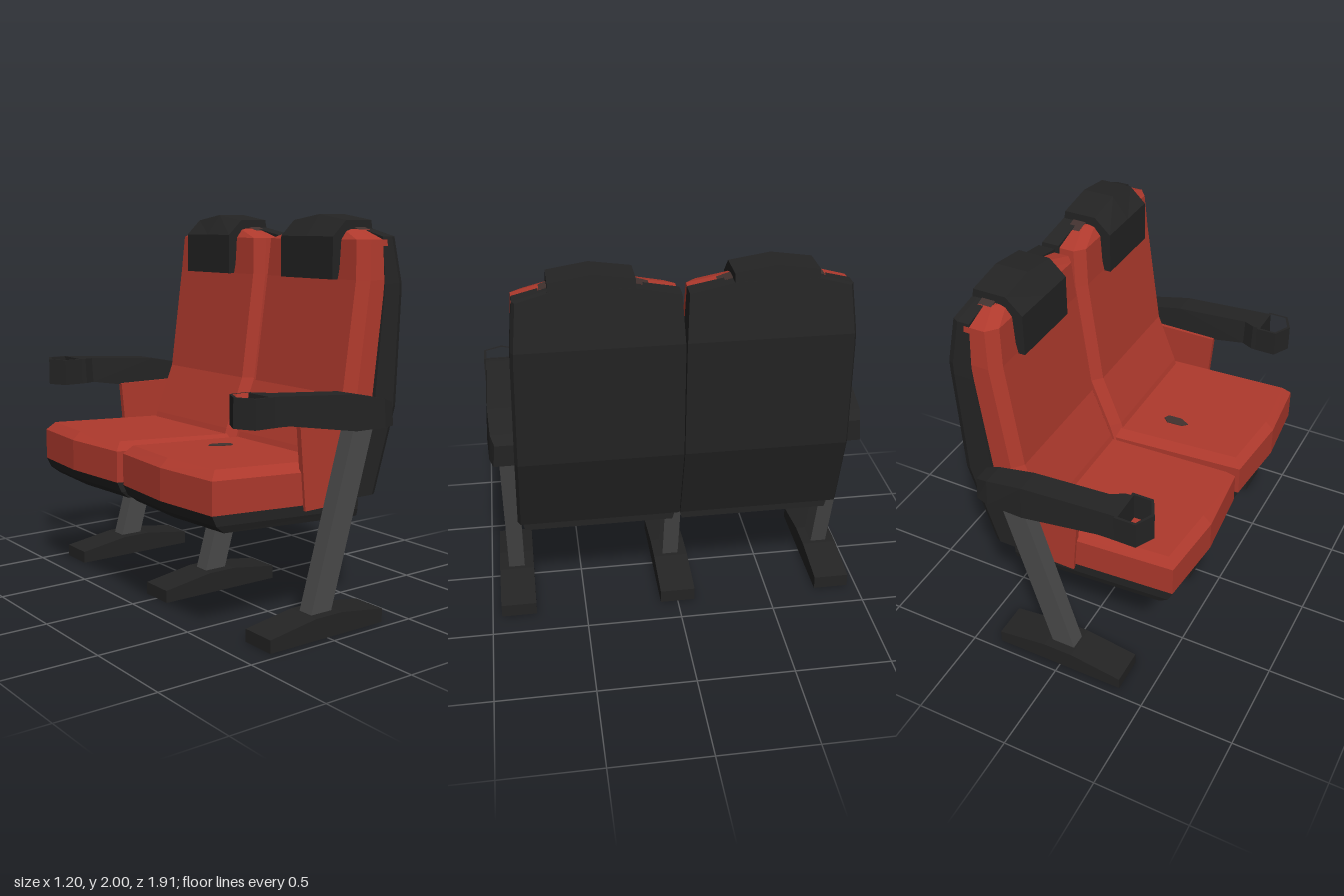
import * as THREE from 'three';

const material = (name, color) => {
  const m = new THREE.MeshStandardMaterial({ color });
  m.name = name;
  return m;
};

// Flat-shaded solid through rings of [x, y, z] points, capped at both ends and wound outwards
function loft(rings) {
  const n = rings[0].length, tris = [];
  for (let r = 0; r < rings.length - 1; r++) {
    for (let i = 0; i < n; i++) {
      const j = (i + 1) % n, a = rings[r], b = rings[r + 1];
      tris.push([a[i], a[j], b[j]], [a[i], b[j], b[i]]);
    }
  }
  const first = rings[0], last = rings[rings.length - 1];
  for (let i = 1; i < n - 1; i++) {
    tris.push([first[0], first[i + 1], first[i]], [last[0], last[i], last[i + 1]]);
  }
  let volume = 0;
  for (const [a, b, c] of tris) {
    volume += a[0] * (b[1] * c[2] - b[2] * c[1]) + a[1] * (b[2] * c[0] - b[0] * c[2]) + a[2] * (b[0] * c[1] - b[1] * c[0]);
  }
  if (volume < 0) tris.forEach((t) => t.reverse());
  const geometry = new THREE.BufferGeometry();
  geometry.setAttribute('position', new THREE.Float32BufferAttribute(tris.flat(2), 3));
  geometry.computeVertexNormals();
  return geometry;
}

// Side profile of [x, y] points carried across z
const prism = (profile, z0, z1) => loft([z0, z1].map((z) => profile.map(([x, y]) => [x, y, z])));

export function createModel() {
  const model = new THREE.Group();
  model.name = 'doubleSeat';
  const red = material('redUpholstery', 0xb03a2d);
  const black = material('blackPlastic', 0x242424);
  const grey = material('greyMetal', 0x4a4a4a);
  const brown = material('brownTrim', 0x42322f);

  const add = (parent, name, geometry, mat) => {
    const mesh = new THREE.Mesh(geometry, mat);
    mesh.name = name;
    parent.add(mesh);
  };

  // Slanted legs on wide feet: two outer, one in the middle
  for (const z of [-0.858, 0, 0.858]) {
    const top = z === 0 ? 0.56 : 1.0, shift = (top - 0.09) * 0.287;
    add(model, 'foot', prism([[-0.35, 0], [0.36, 0], [0.36, 0.07], [0.09, 0.108], [-0.07, 0.108], [-0.35, 0.065]], z - 0.093, z + 0.093), black);
    add(model, 'leg', prism([[-0.065, 0.09], [0.062, 0.09], [0.062 + shift, top], [-0.065 + shift, top]], z - 0.043, z + 0.043), grey);
  }

  for (const s of [1, -1]) {
    const seat = new THREE.Group();
    seat.name = s > 0 ? 'leftSeat' : 'rightSeat';
    model.add(seat);

    // Horizontal seat outline with a pointed front edge, sinking gently to the rear
    const seatRing = ([y, front, corner, zIn, zOut, back]) =>
      [[front, 0.42], [corner, zOut], [back, zOut + 0.015], [back, zIn - 0.015], [corner, zIn]]
        .map(([x, z]) => [x, y - 0.05 * (x + 0.55), z * s]);
    add(seat, 'seatBase', loft([
      [0.56, -0.52, -0.49, 0.04, 0.78, 0.32],
      [0.597, -0.57, -0.54, 0.03, 0.79, 0.32],
      [0.648, -0.6, -0.565, 0.03, 0.79, 0.32],
    ].map(seatRing)), black);
    add(seat, 'seatCushion', loft([
      [0.648, -0.6, -0.565, 0.03, 0.79, 0.3],
      [0.81, -0.6, -0.565, 0.03, 0.79, 0.3],
      [0.855, -0.555, -0.525, 0.065, 0.755, 0.3],
    ].map(seatRing)), red);

    // Back cushion with bevelled side bolsters
    add(seat, 'backCushion', loft([
      [0.62, 0.08, 0.32, 0.01, 0.80],
      [0.85, 0.152, 0.38, 0.01, 0.80],
      [1.12, 0.258, 0.45, 0.01, 0.80],
      [1.68, 0.333, 0.5, 0.012, 0.80],
      [1.875, 0.345, 0.5, 0.025, 0.785],
      [1.925, 0.385, 0.5, 0.2, 0.65],
    ].map(([y, front, back, z0, z1]) =>
      [[front, z0 + 0.05], [front, z1 - 0.055], [front + 0.045, z1], [back, z1], [back, z0], [front + 0.045, z0]]
        .map(([x, z]) => [x, y, z * s]))), red);

    // Rear shell, bent at the lumbar and narrowing towards the top
    add(seat, 'backShell', loft([
      [0.62, 0.27, 0.42, 0.002, 0.83],
      [1.05, 0.4, 0.56, 0.002, 0.822],
      [1.6, 0.465, 0.597, 0.003, 0.808],
      [1.66, 0.47, 0.6, 0.004, 0.805],
      [1.89, 0.47, 0.563, 0.017, 0.783],
      [1.93, 0.47, 0.555, 0.23, 0.625],
    ].map(([y, front, back, z0, z1]) =>
      [[front, z0], [front, z1], [back - 0.03, z1], [back, z1 - 0.015], [back, z0]]
        .map(([x, z]) => [x, y, z * s]))), black);
    add(seat, 'topTrim', loft([[1.88, 0.05, 0.765], [1.935, 0.23, 0.625]].map(([y, z0, z1]) =>
      [[0.43, z0], [0.43, z1], [0.5, z1], [0.5, z0]].map(([x, z]) => [x, y, z * s]))), brown);

    // Headrest cap with a pad hanging in front
    add(seat, 'headrestCap', loft([[0.225, 0], [0.425, 0.03], [0.622, 0]].map(([z, rise]) =>
      [[0.29, 1.87], [0.29, 1.89], [0.375, 1.97 + rise], [0.545, 1.97 + rise], [0.565, 1.87]]
        .map(([x, y]) => [x, y, z * s]))), black);
    add(seat, 'headrestPad', prism([[0.29, 1.68], [0.29, 1.89], [0.37, 1.89], [0.325, 1.68]], 0.225 * s, 0.622 * s), black);

    // Side panel between the cushion and the armrest
    add(seat, 'sidePanel', prism([[-0.07, 1.03], [0.39, 1.03], [0.25, 0.6], [-0.03, 0.595]], 0.785 * s, 0.814 * s), red);

    // Armrest bar ending in an open cup holder
    add(seat, 'armrest', loft([
      [-0.352, 1.055, 1.193, 0.765, 0.955],
      [-0.31, 1.055, 1.192, 0.768, 0.955],
      [-0.25, 1.053, 1.188, 0.8, 0.955],
      [0.16, 0.985, 1.16, 0.8, 0.955],
      [0.36, 0.98, 1.12, 0.8, 0.945],
      [0.43, 0.98, 1.095, 0.8, 0.925],
    ].map(([x, y0, y1, z0, z1]) =>
      [[y0, z0], [y1, z0 + 0.015], [y1, z1 - 0.012], [y0, z1]].map(([y, z]) => [x, y, z * s]))), black);
    const outline = (points) => points.map(([x, z]) => new THREE.Vector2(x, z * s));
    const cup = new THREE.Shape(outline([[-0.5, 0.86], [-0.45, 0.955], [-0.34, 0.955], [-0.34, 0.765], [-0.45, 0.765]]));
    cup.holes.push(new THREE.Path(outline([[-0.483, 0.86], [-0.443, 0.942], [-0.353, 0.942], [-0.353, 0.778], [-0.443, 0.778]])));
    const cupGeometry = new THREE.ExtrudeGeometry(cup, { depth: 0.14, bevelEnabled: false });
    cupGeometry.rotateX(Math.PI / 2).translate(0, 1.195, 0);
    add(seat, 'cupHolder', cupGeometry, black);
  }

  // Small dark patch lying on one cushion
  const patch = [[-0.175, 0.225], [-0.15, 0.2], [-0.06, 0.2], [-0.03, 0.23], [-0.045, 0.258], [-0.12, 0.258]];
  add(model, 'seatPatch', loft([0.852, 0.859].map((y) => patch.map(([x, z]) => [x, y - 0.05 * (x + 0.55), z]))), brown);

  return model;
}
